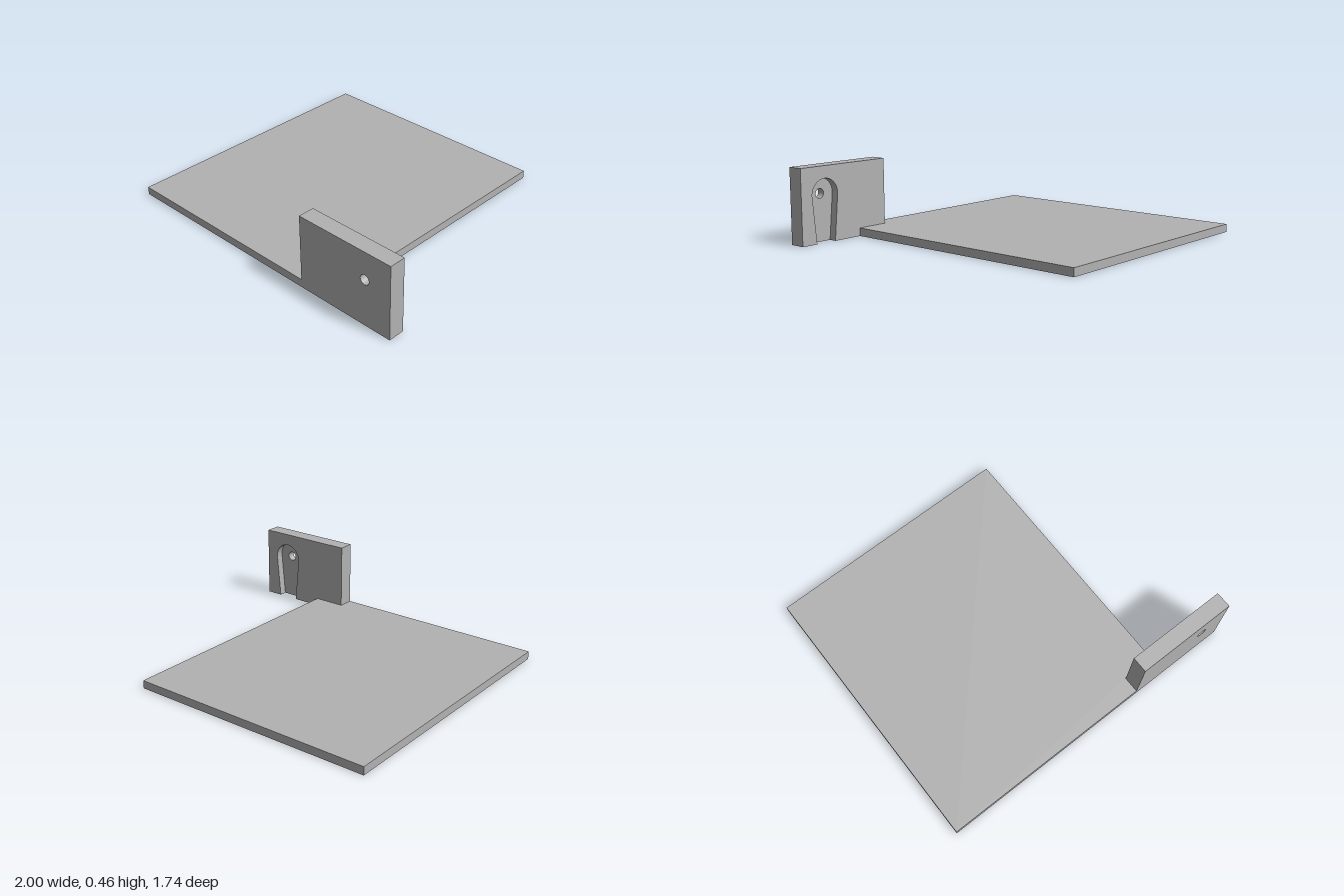
import * as THREE from 'three';

export function createModel() {
  const model = new THREE.Group();
  const grey = new THREE.MeshStandardMaterial({ color: 0xb2b2b2 });
  grey.name = 'plain grey';

  const left = 1, right = 0.36, top = 0.46;
  const front = 0.87, back = 0.77, floor = 0.82;
  const hole = { x: 0.826, y: 0.29, r: 0.03 };

  const polygon = (points) => new THREE.Shape(points.map(([x, y]) => new THREE.Vector2(x, y)));

  function addExtrusion(name, shape, depth) {
    const geometry = new THREE.ExtrudeGeometry(shape, { depth, bevelEnabled: false, curveSegments: 24 });
    const mesh = new THREE.Mesh(geometry, grey);
    mesh.name = name;
    model.add(mesh);
    return mesh;
  }

  // Flat base plate, notched where the bracket stands (drawn in x and -z)
  const plate = addExtrusion('basePlate', polygon([
    [-1, -front], [right, -front], [right, -back], [0.565, -back], [0.565, 0.87], [-1, 0.87],
  ]), 0.05);
  plate.rotation.x = -Math.PI / 2;

  // Front layer of the upright bracket, with the round through hole
  const face = polygon([[right, 0], [left, 0], [left, top], [right, top]]);
  face.holes.push(new THREE.Path().absarc(hole.x, hole.y, hole.r, 0, Math.PI * 2, true));
  addExtrusion('bracketFront', face, front - floor).position.z = floor;

  // Back layer, cut by a round-topped slot that narrows to the bottom edge
  const slotRadius = 0.095, slotFoot = 0.068, tilt = 0.09;
  const rim = new THREE.Shape();
  rim.moveTo(right, 0);
  rim.lineTo(hole.x - slotFoot, 0);
  rim.absarc(hole.x, hole.y, slotRadius, Math.PI + tilt, -tilt, true);
  rim.lineTo(hole.x + slotFoot, 0);
  rim.lineTo(left, 0);
  rim.lineTo(left, top);
  rim.lineTo(right, top);
  rim.closePath();
  addExtrusion('bracketBack', rim, floor - back).position.z = back;

  return model;
}
